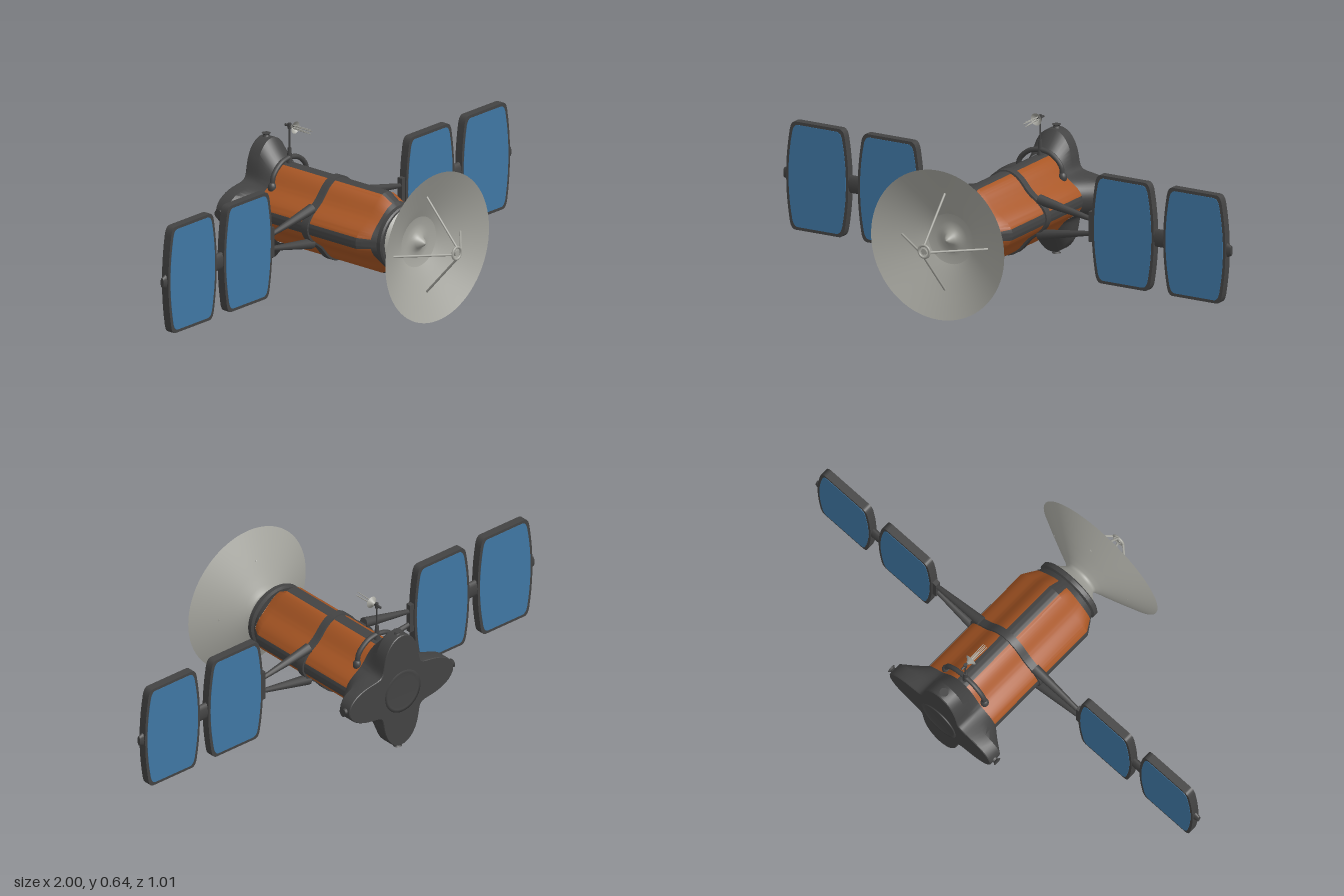
import * as THREE from 'three';
import { toCreasedNormals } from 'three/addons/utils/BufferGeometryUtils.js';

const CY = 0.302; // height of the main axis
const material = (name, color, side = THREE.FrontSide) => {
  const m = new THREE.MeshStandardMaterial({ color, side });
  m.name = name;
  return m;
};

// Four-lobed skin from sections [z, base radius, lobe height], listed front to back
function loft(sections, t0 = 0, t1 = Math.PI * 2, n = 96) {
  const pos = [], index = [];
  sections.forEach(([z, base, lobe]) => {
    for (let j = 0; j <= n; j++) {
      const t = t0 + (t1 - t0) * j / n;
      const r = base + lobe * Math.cos(4 * t);
      pos.push(1.08 * r * Math.cos(t), r * Math.sin(t), z);
    }
  });
  for (let i = 0; i < sections.length - 1; i++) {
    for (let j = 0; j < n; j++) {
      const a = i * (n + 1) + j, b = a + 1, c = a + n + 1, d = c + 1;
      index.push(a, c, b, b, c, d);
    }
  }
  const g = new THREE.BufferGeometry();
  g.setAttribute('position', new THREE.Float32BufferAttribute(pos, 3));
  g.setIndex(index);
  return toCreasedNormals(g, 0.5);
}

// Barrel-sided outline with rounded corners
function panelOutline(w, h) {
  const s = new THREE.Shape();
  s.moveTo(-w + 0.042, -h);
  s.lineTo(w - 0.042, -h);
  s.quadraticCurveTo(w - 0.022, -h, w - 0.016, -h + 0.035);
  s.quadraticCurveTo(w + 0.016, 0, w - 0.016, h - 0.035);
  s.quadraticCurveTo(w - 0.022, h, w - 0.042, h);
  s.lineTo(-w + 0.042, h);
  s.quadraticCurveTo(-w + 0.022, h, -w + 0.016, h - 0.035);
  s.quadraticCurveTo(-w - 0.016, 0, -w + 0.016, -h + 0.035);
  s.quadraticCurveTo(-w + 0.022, -h, -w + 0.042, -h);
  return s;
}

function slab(w, h, depth) {
  const g = new THREE.ExtrudeGeometry(panelOutline(w, h), { depth, bevelEnabled: false, curveSegments: 10 });
  return g.translate(0, 0, -depth / 2);
}

export function createModel() {
  const dark = material('darkMetal', 0x434343);
  const foil = material('orangeFoil', 0xa85624);
  const blue = material('solarBlue', 0x3f76a3);
  const grey = material('dishGrey', 0xa5a59e, THREE.DoubleSide);

  const model = new THREE.Group();
  const axis = new THREE.Group();
  axis.name = 'spacecraft';
  axis.position.y = CY;
  model.add(axis);

  const add = (name, geo, mat, parent = axis) => {
    const m = new THREE.Mesh(geo, mat);
    m.name = name;
    parent.add(m);
    return m;
  };
  const rod = (name, p, q, r0, r1, mat, parent = axis) => {
    const a = new THREE.Vector3(...p), b = new THREE.Vector3(...q);
    const m = add(name, new THREE.CylinderGeometry(r1, r0, a.distanceTo(b), 12), mat, parent);
    m.position.copy(a).lerp(b, 0.5);
    m.quaternion.setFromUnitVectors(new THREE.Vector3(0, 1, 0), b.sub(a).normalize());
    return m;
  };
  const lathe = (pts, n = 64) =>
    new THREE.LatheGeometry(pts.map(p => new THREE.Vector2(...p)), n).rotateX(Math.PI / 2);

  // Foil body with four lobes
  add('body', loft([[0.19, 0.124, 0.008], [0.14, 0.145, 0.017], [-0.385, 0.145, 0.017]]), foil);

  // Dark strips along the crest of each lobe
  for (let i = 0; i < 4; i++) {
    const t = i * Math.PI / 2;
    add('bodyStrip', loft([[0.19, 0.126, 0.008], [0.14, 0.1465, 0.0175], [-0.385, 0.1465, 0.0175]],
      t - 0.14, t + 0.14, 8), dark);
  }

  // Band around the middle, front collar
  add('middleBand', loft([[-0.1, 0.142, 0.017], [-0.102, 0.153, 0.017],
    [-0.133, 0.153, 0.017], [-0.135, 0.142, 0.017]]), dark);
  add('frontCollar', loft([[0.237, 0, 0], [0.237, 0.124, 0], [0.232, 0.13, 0], [0.215, 0.13, 0],
    [0.21, 0.118, 0.002], [0.188, 0.127, 0.008]]), dark);

  // Flared four-pointed stern
  add('stern', loft([[-0.376, 0.147, 0.018], [-0.41, 0.166, 0.036], [-0.445, 0.189, 0.056],
    [-0.497, 0.189, 0.056], [-0.5, 0.186, 0.056], [-0.5, 0, 0]]), dark);
  add('sternDisc', lathe([[0, -0.5], [0.08, -0.5], [0.09, -0.507], [0.078, -0.507], [0.07, -0.504], [0, -0.504]]
    .reverse(), 40), dark);

  // Nozzles on the four points
  for (let i = 0; i < 4; i++) {
    const t = i * Math.PI / 2, c = Math.cos(t), s = Math.sin(t);
    const at = r => [r * c * 1.08, r * s, -0.475];
    rod('nozzleNeck', at(0.235), at(0.252), 0.018, 0.01, dark);
    rod('nozzleBell', at(0.25), at(0.257), 0.01, 0.018, dark);
  }

  // Main dish with flared foot, centre horn, tripod-style struts and feed ring
  add('mainDish', lathe([[0.12, 0.236], [0.1, 0.252], [0.078, 0.272], [0.071, 0.284], [0.078, 0.291],
    [0.1, 0.304], [0.15, 0.327], [0.225, 0.363], [0.298, 0.4]], 72), grey);
  add('dishHorn', lathe([[0.1, 0.305], [0.07, 0.298], [0.045, 0.299], [0.025, 0.31], [0.012, 0.332], [0, 0.34]], 40), grey);
  for (let i = 0; i < 4; i++) {
    const t = i * Math.PI / 2, c = Math.cos(t), s = Math.sin(t);
    rod('feedStrut', [0.192 * c, 0.192 * s, 0.347], [0.024 * c, 0.024 * s, 0.5], 0.0045, 0.0045, grey);
  }
  add('feedRing', new THREE.TorusGeometry(0.024, 0.005, 10, 32), grey).position.z = 0.5;
  rod('feedCore', [0, 0, 0.496], [0, 0, 0.503], 0.012, 0.012, grey);

  // Solar wings, the second turned half round
  for (const turn of [0, Math.PI]) {
    const wing = new THREE.Group();
    wing.name = turn ? 'rightWing' : 'leftWing';
    wing.position.z = -0.118;
    wing.rotation.y = turn;
    axis.add(wing);
    for (const x of [0.523, 0.843]) {
      add('panelFrame', slab(0.139, 0.216, 0.033), dark, wing).position.x = x;
      add('solarCells', slab(0.128, 0.204, 0.036), blue, wing).position.x = x;
    }
    rod('panelJoint', [0.65, 0, 0], [0.715, 0, 0], 0.036, 0.036, dark, wing).scale.z = 0.4;
    rod('wingTip', [0.97, 0, 0], [1.0, 0, 0], 0.034, 0.02, dark, wing).scale.z = 0.4;
    const hub = add('wingHub', new THREE.BoxGeometry(0.022, 0.12, 0.022), dark, wing);
    hub.position.x = 0.377;
    for (const s of [-1, 1]) {
      rod('wingArm', [0.14, 0.07 * s, 0], [0.375, 0.028 * s, 0], 0.021, 0.009, dark, wing);
    }
  }

  // Mast yoke straddling the top lobe
  const mast = new THREE.Group();
  mast.name = 'mast';
  mast.position.set(0, 0, -0.356);
  axis.add(mast);
  for (const s of [-1, 1]) {
    const path = new THREE.CatmullRomCurve3([[0.1, 0.085], [0.092, 0.135], [0.05, 0.175], [0, 0.188]]
      .map(([x, y]) => new THREE.Vector3(x * s, y, 0)));
    add('yokeArm', new THREE.TubeGeometry(path, 20, 0.01, 10), dark, mast);
    const foot = add('yokeFoot', new THREE.SphereGeometry(0.017, 16, 12), dark, mast);
    foot.position.set(0.1 * s, 0.09, 0);
    foot.scale.y = 1.3;
  }
  rod('mastBase', [0, 0.165, 0], [0, 0.225, 0], 0.012, 0.007, dark, mast);
  rod('mastPole', [0, 0.22, 0], [0, 0.32, 0], 0.003, 0.003, dark, mast);

  // Small aerial on the mast
  rod('aerialMount', [0, 0.314, -0.022], [0, 0.314, 0.02], 0.005, 0.005, dark, mast);
  rod('aerialPivot', [0, 0.303, 0], [0, 0.325, 0], 0.007, 0.007, dark, mast);
  const aerial = add('aerialDish', lathe([[0, 0.01], [0.007, 0.012], [0.01, 0.02], [0.024, 0.031]], 24), grey, mast);
  aerial.position.y = 0.314;
  for (let i = 0; i < 4; i++) {
    const t = i * Math.PI / 2, c = Math.cos(t), s = Math.sin(t);
    rod('aerialRod', [0.006 * c, 0.314 + 0.006 * s, 0.02], [0.009 * c, 0.314 + 0.009 * s, 0.11],
      0.0025, 0.0015, grey, mast);
  }
  return model;
}
